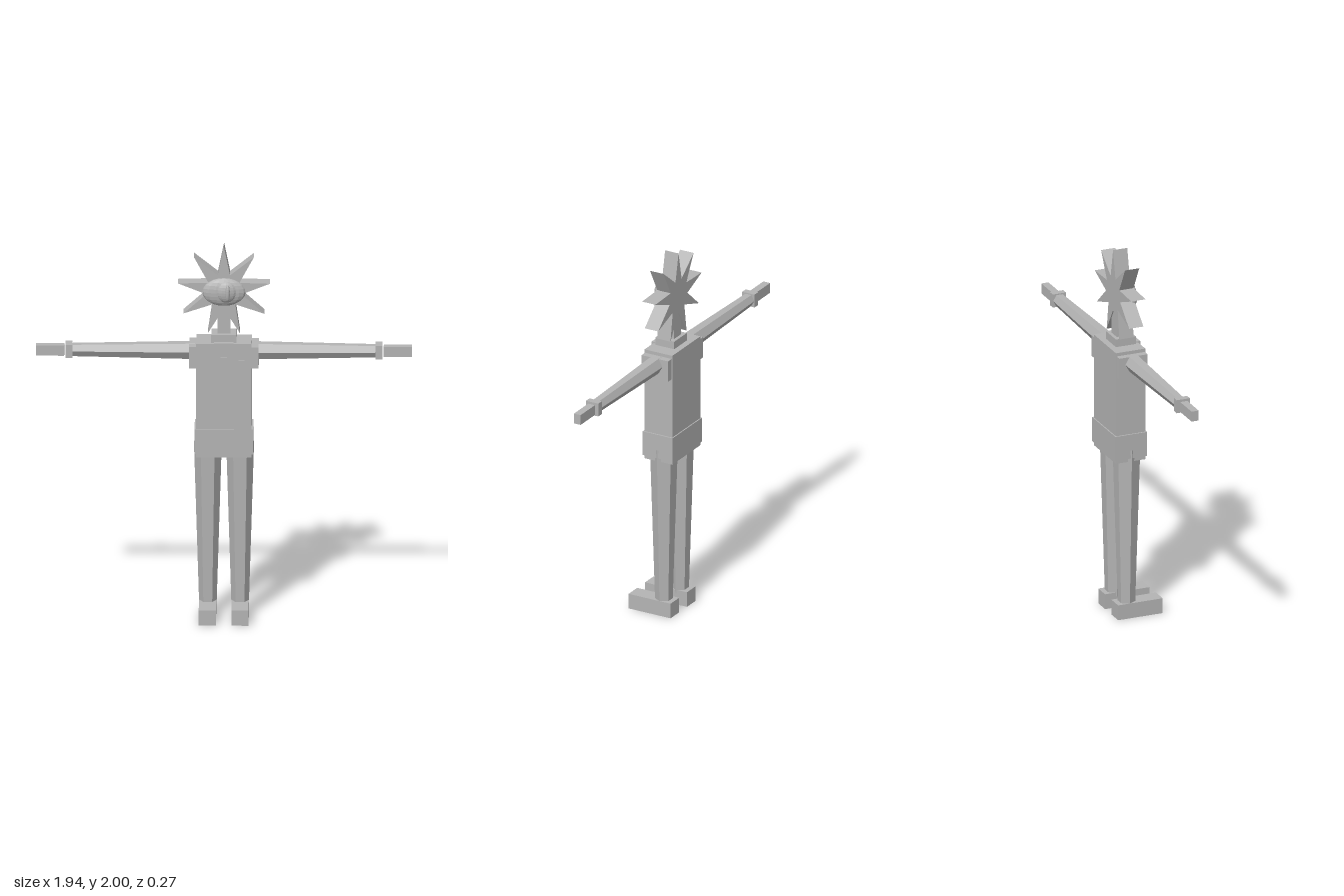
import * as THREE from 'three';

export function createModel() {
  const model = new THREE.Group();
  const grey = new THREE.MeshStandardMaterial({ color: 0xb4b4b4 });
  grey.name = 'plain grey';
  grey.flatShading = true;
  const Z = -0.047; // depth of the limb axis

  function add(name, geometry) {
    const mesh = new THREE.Mesh(geometry, grey);
    mesh.name = name;
    model.add(mesh);
    return mesh;
  }
  // Box given by its limits on each axis
  function box(name, x0, x1, y0, y1, z0, z1) {
    const mesh = add(name, new THREE.BoxGeometry(x1 - x0, y1 - y0, z1 - z0));
    mesh.position.set((x0 + x1) / 2, (y0 + y1) / 2, (z0 + z1) / 2);
    return mesh;
  }
  function ellipsoid(name, x, y, z, rx, ry, rz) {
    const mesh = add(name, new THREE.SphereGeometry(1, 16, 12));
    mesh.position.set(x, y, z);
    mesh.scale.set(rx, ry, rz);
    return mesh;
  }

  // Nine-pointed star head
  const star = new THREE.Shape();
  for (let i = 0; i < 18; i++) {
    const r = i % 2 ? 0.092 : 0.24;
    const a = (i * Math.PI) / 9;
    const x = -Math.sin(a) * r, y = Math.cos(a) * r;
    if (i) star.lineTo(x, y);
    else star.moveTo(x, y);
  }
  star.closePath();
  const head = add('starHead', new THREE.ExtrudeGeometry(star, { depth: 0.08, bevelEnabled: false }));
  head.position.set(0, 1.76, -0.086);

  // Single eye
  ellipsoid('eyeball', 0, 1.757, -0.008, 0.112, 0.075, 0.032);
  ellipsoid('iris', 0.012, 1.76, 0.005, 0.056, 0.058, 0.03);
  ellipsoid('pupil', 0.02, 1.76, 0.028, 0.012, 0.046, 0.017);

  // Neck and trunk
  box('neck', -0.034, 0.034, 1.5, 1.7, -0.08, -0.012);
  box('collar', -0.065, 0.065, 1.48, 1.53, -0.098, 0.014);
  box('torso', -0.143, 0.143, 0.875, 1.488, -0.132, 0.033);
  box('shoulders', -0.179, 0.179, 1.355, 1.47, -0.128, 0.03);
  box('hips', -0.151, 0.151, 0.895, 1.028, -0.138, 0.04);

  // Shirt details
  box('shirtFront', -0.05, 0.05, 1.17, 1.494, 0.02, 0.045);
  box('tie', -0.017, 0.017, 1.145, 1.42, 0.042, 0.057);
  box('badge', 0.075, 0.106, 1.365, 1.4, 0.025, 0.046);

  for (const [side, s] of [['left', 1], ['right', -1]]) {
    // Six-sided tapered arm lying along x
    const armGeometry = new THREE.CylinderGeometry(0.035, 0.048, 0.64, 6);
    armGeometry.rotateZ(-Math.PI / 2);
    if (s < 0) armGeometry.rotateY(Math.PI);
    const arm = add(side + 'Arm', armGeometry);
    arm.position.set(s * 0.47, 1.43, Z);

    const cuff = box(side + 'Cuff', 0.78, 0.816, 1.395, 1.467, Z - 0.037, Z + 0.037);
    const hand = box(side + 'Hand', 0.822, 0.968, 1.402, 1.457, Z - 0.02, Z + 0.02);
    cuff.position.x *= s;
    hand.position.x *= s;

    // Six-sided tapered leg with a corner pointing outwards
    const legGeometry = new THREE.CylinderGeometry(0.072, 0.045, 0.88, 6);
    legGeometry.rotateY(Math.PI / 6);
    const leg = add(side + 'Leg', legGeometry);
    leg.position.set(s * 0.083, 0.5, Z);

    const foot = box(side + 'Foot', 0.04, 0.128, 0, 0.082, -0.113, 0.137);
    foot.position.x *= s;
  }
  return model;
}
